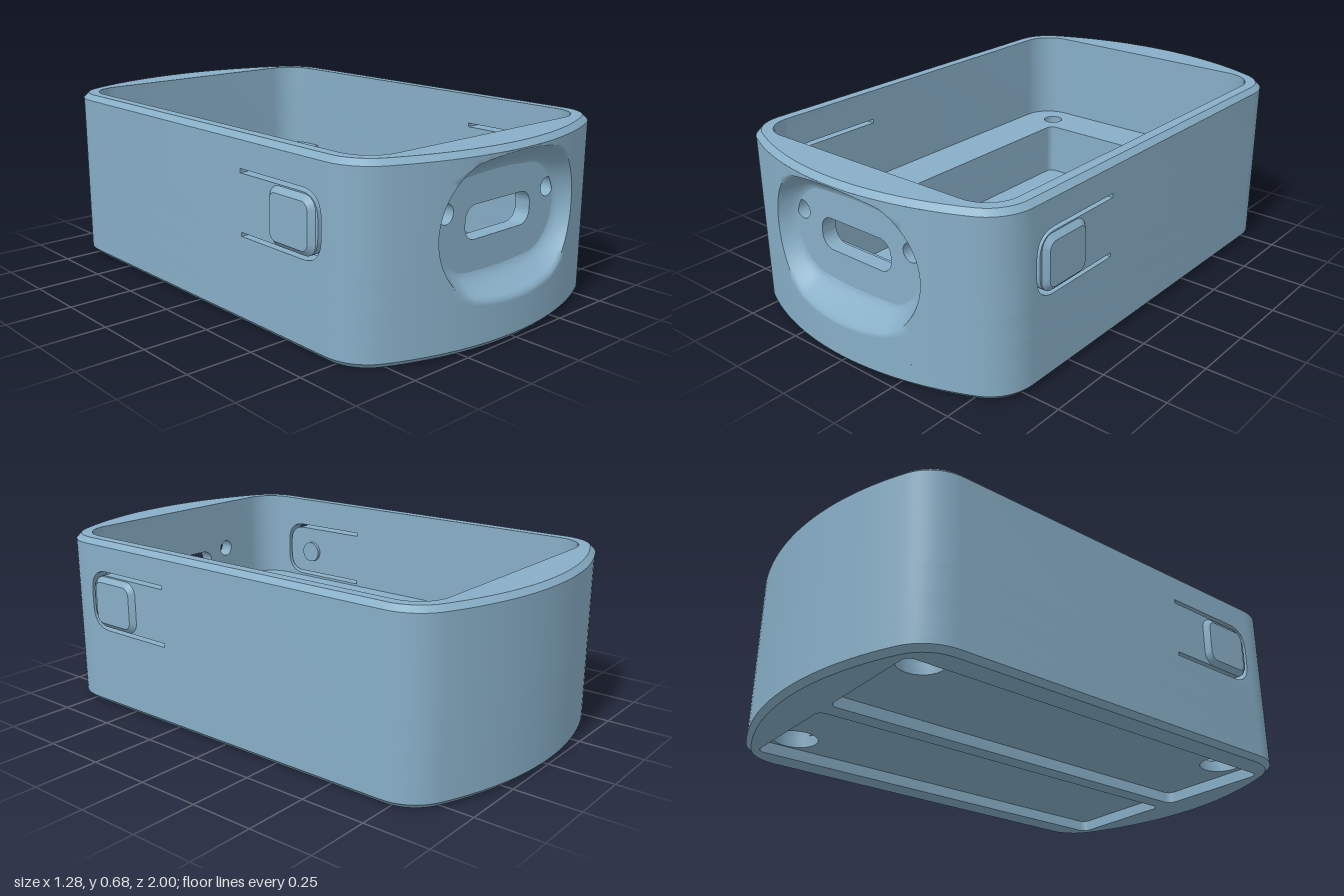
import * as THREE from 'three';
import { toCreasedNormals } from 'three/addons/utils/BufferGeometryUtils.js';

const V = (x, y) => new THREE.Vector2(x, y);
const CORNER = V(0.44, 0.72), CORNER_R = 0.18;   // outer corner circle
const ARC_R = 1.198, ARC_Z = 1 - ARC_R;          // bowed front and back
const LEDGE = 0.31, FLOOR = 0.09, RIM = 0.66, HEIGHT = 0.68;
const arcZ = (x) => ARC_Z + Math.sqrt(ARC_R * ARC_R - x * x);

const arcPts = (cx, cy, r, a0, a1, n) => Array.from({ length: n + 1 }, (_, i) => {
  const a = a0 + (a1 - a0) * i / n;
  return V(cx + r * Math.cos(a), cy + r * Math.sin(a));
});

// One quarter of the outer outline in plan (x, z), from the side to the front
function outerQuarter(inset = 0, xEnd = 0) {
  const tangent = Math.atan2(CORNER.y - ARC_Z, CORNER.x), r = ARC_R - inset;
  return [
    ...arcPts(CORNER.x, CORNER.y, CORNER_R - inset, 0, tangent, 10),
    ...arcPts(0, ARC_Z, r, tangent, Math.acos(xEnd / r), 12).slice(1),
  ];
}
const cavityQuarter = () => arcPts(0.435, 0.715, 0.125, 0, Math.PI / 2, 10);

function mirror(pts, sx, sz) {
  const out = pts.map((p) => V(p.x * sx, p.y * sz));
  return sx * sz < 0 ? out.reverse() : out;
}
const ring = (q) => [[1, 1], [-1, 1], [-1, -1], [1, -1]].flatMap(([a, b]) => {
  const part = mirror(q, a, b);
  return part[part.length - 1].x === 0 ? part.slice(0, -1) : part;
});

function circle(x, y, r) {
  return new THREE.Path().absarc(x, y, r, 0, Math.PI * 2);
}
function roundRect(x0, y0, x1, y1, r, Type = THREE.Path) {
  const p = new Type();
  p.absarc(x1 - r, y1 - r, r, 0, Math.PI / 2);
  p.absarc(x0 + r, y1 - r, r, Math.PI / 2, Math.PI);
  p.absarc(x0 + r, y0 + r, r, Math.PI, Math.PI * 1.5);
  p.absarc(x1 - r, y0 + r, r, Math.PI * 1.5, Math.PI * 2);
  p.closePath();
  return p;
}

function extrude(shape, depth, holes = []) {
  shape.holes.push(...holes);
  return new THREE.ExtrudeGeometry(shape, { depth, bevelEnabled: false, curveSegments: 10 });
}
// Horizontal slab between two heights from a plan outline
function slab(pts, y0, y1, holes = []) {
  return toCreasedNormals(
    extrude(new THREE.Shape(pts), y1 - y0, holes).rotateX(Math.PI / 2).translate(0, y1, 0), 0.5);
}
// Skin through closed loops of equal point counts
function loft(loops, crease) {
  const n = loops[0].length, index = [];
  for (let j = 0; j < loops.length - 1; j++) {
    for (let i = 0; i < n; i++) {
      const a = j * n + i, b = j * n + (i + 1) % n;
      index.push(a, a + n, b + n, a, b + n, b);
    }
  }
  const g = new THREE.BufferGeometry().setFromPoints(loops.flat());
  g.setIndex(index);
  return toCreasedNormals(g, crease);
}
const atHeight = (pts, y) => pts.map((p) => new THREE.Vector3(p.x, y, p.y));

// Front skin: bowed face with a soft oval dish pressed into it
function frontSkin() {
  const N = 96, A = 0.13, R0 = 0.17, GROW = 0.08, CY = 0.405, POW = 1.6, STEPS = 9;
  const loops = Array.from({ length: STEPS + 5 }, () => []);
  for (let i = 0; i < N; i++) {
    const t = i / N * Math.PI * 2, c = Math.cos(t), s = Math.sin(t);
    const core = A * Math.max(-1, Math.min(1, c * 3));
    const at = (u) => V(core + (R0 + GROW * u) * c, CY + (R0 + GROW * u) * s);
    let edge = 1;
    for (let k = 0; k < 8; k++) edge = Math.pow((arcZ(at(edge).x) - 0.9) / 0.1, 1 / POW);
    for (let k = 0; k <= STEPS; k++) {
      const u = edge * k / STEPS, p = at(u);
      loops[k].push(new THREE.Vector3(p.x, p.y, 0.9 + 0.1 * Math.pow(u, POW)));
    }
    const m = Math.max(Math.abs(c), Math.abs(s));
    const border = V(0.36 * c / m, (FLOOR + RIM) / 2 + (RIM - FLOOR) / 2 * s / m);
    for (let k = 1; k <= 4; k++) {
      const p = at(edge).lerp(border, k / 4);
      loops[STEPS + k].push(new THREE.Vector3(p.x, p.y, arcZ(p.x)));
    }
  }
  return loft(loops, 1.2);
}

// Battery pocket in plan; the bite is where the screw recess breaks into it
function pocket(bite) {
  const p = new THREE.Path();
  p.moveTo(0.56, -0.65).lineTo(0.56, 0.72).lineTo(0.543, 0.78);
  if (bite) {
    p.lineTo(-0.351, 0.78);
    p.absarc(-0.42, 0.73, 0.085, 0.627, 5.339);
  } else p.lineTo(-0.37, 0.78);
  p.lineTo(-0.37, -0.62);
  p.quadraticCurveTo(-0.37, -0.65, -0.34, -0.65);
  p.closePath();
  return p;
}

// U-shaped slit that frees the button tongue, in (z, y)
function slit() {
  const p = new THREE.Path();
  p.moveTo(0.29, 0.56).lineTo(0.61, 0.56);
  p.quadraticCurveTo(0.7, 0.56, 0.7, 0.47).lineTo(0.7, 0.41);
  p.quadraticCurveTo(0.7, 0.32, 0.61, 0.32).lineTo(0.29, 0.32);
  p.lineTo(0.29, 0.335).lineTo(0.61, 0.335);
  p.quadraticCurveTo(0.685, 0.335, 0.685, 0.41).lineTo(0.685, 0.47);
  p.quadraticCurveTo(0.685, 0.545, 0.61, 0.545).lineTo(0.29, 0.545);
  p.closePath();
  return p;
}

export function createModel() {
  const model = new THREE.Group();
  model.name = 'enclosure';
  const plastic = new THREE.MeshStandardMaterial({ color: 0x87aec6 });
  plastic.name = 'blue plastic';
  const add = (name, geometry) => {
    const mesh = new THREE.Mesh(geometry, plastic);
    mesh.name = name;
    model.add(mesh);
    return mesh;
  };

  const outline = ring(outerQuarter()), inset = ring(outerQuarter(0.02));
  const screws = [[-0.42, -0.73], [0.42, -0.73], [-0.42, 0.73]];
  const bores = (r, list = screws) => list.map(([x, z]) => circle(x, z, r));

  // Underside with two shallow recesses, then the floor
  add('underside', slab(inset, 0, 0.045,
    [roundRect(0.035, -0.84, 0.51, 0.84, 0.03), roundRect(-0.51, -0.84, -0.035, 0.84, 0.03)]));
  add('bottomChamfer', loft(
    [atHeight(inset, 0), atHeight(outline, 0.02), atHeight(outline, 0.045)], 0.5));
  add('floor', slab(outline, 0.045, FLOOR, bores(0.085)));

  // Ledge around the pocket, left open behind the front face
  const q = outerQuarter(0, 0.36);
  const notched = [...q, V(0.36, 0.84), V(-0.36, 0.84), ...mirror(q, -1, 1),
    ...mirror(outerQuarter(), -1, -1), ...mirror(outerQuarter(), 1, -1).slice(1)];
  add('lowerLedge', slab(notched, FLOOR, 0.2, [pocket(true), ...bores(0.085, screws.slice(0, 2))]));
  add('upperLedge', slab(notched, 0.2, LEDGE, [pocket(false), ...bores(0.042)]));

  // Upper walls
  const cav = cavityQuarter();
  add('backWall', slab([
    V(0.62, 0.25), ...mirror(outerQuarter(), 1, -1).reverse(),
    ...mirror(outerQuarter(), -1, -1).reverse().slice(1),
    V(-0.62, 0.25), V(-0.56, 0.25),
    ...mirror(cav, -1, -1), ...mirror(cav, 1, -1), V(0.56, 0.25),
  ], LEDGE, RIM));
  const frontCorner = [V(0.62, 0.715), ...q, V(0.36, 0.84), ...cavityQuarter().reverse()];
  for (const s of [1, -1]) {
    const side = s > 0 ? 'left' : 'right';
    add(side + 'FrontCorner', slab(mirror(frontCorner, s, 1), LEDGE, RIM));

    const wall = new THREE.Shape([V(0.25, LEDGE), V(0.715, LEDGE), V(0.715, RIM), V(0.25, RIM)]);
    add(side + 'Wall', toCreasedNormals(extrude(wall, 0.06, [slit()]).rotateY(-Math.PI / 2), 0.5))
      .position.x = s > 0 ? 0.62 : -0.56;

    // Raised button and the small plunger behind it
    const button = new THREE.ExtrudeGeometry(roundRect(0.465, 0.355, 0.655, 0.52, 0.03, THREE.Shape),
      { depth: 0.02, bevelThickness: 0.018, bevelSize: 0.02, bevelSegments: 1, curveSegments: 6 });
    add(side + 'Button', toCreasedNormals(button.translate(0, 0, -0.01).rotateY(-Math.PI / 2), 0.5))
      .position.x = s * 0.61;
    add(side + 'Plunger', new THREE.CylinderGeometry(0.045, 0.045, 0.03, 24).rotateZ(Math.PI / 2))
      .position.set(s * 0.56, 0.435, 0.555);
  }

  // Front face: dish over a plate with the port and two light holes
  add('frontSkin', frontSkin());
  const plate = new THREE.Shape([V(-0.36, FLOOR), V(0.36, FLOOR), V(0.36, RIM), V(-0.36, RIM)]);
  add('frontPlate', toCreasedNormals(extrude(plate, 0.06, [
    roundRect(-0.17, 0.35, 0.17, 0.47, 0.05), circle(-0.265, 0.463, 0.035), circle(0.265, 0.463, 0.035),
  ]), 0.5)).position.z = 0.84;

  // Rim with its outer chamfer
  add('rim', slab(inset, RIM, HEIGHT, [new THREE.Path(ring(cav))]));
  add('topChamfer', loft([atHeight(outline, RIM), atHeight(inset, HEIGHT)], 0.5));
  return model;
}
